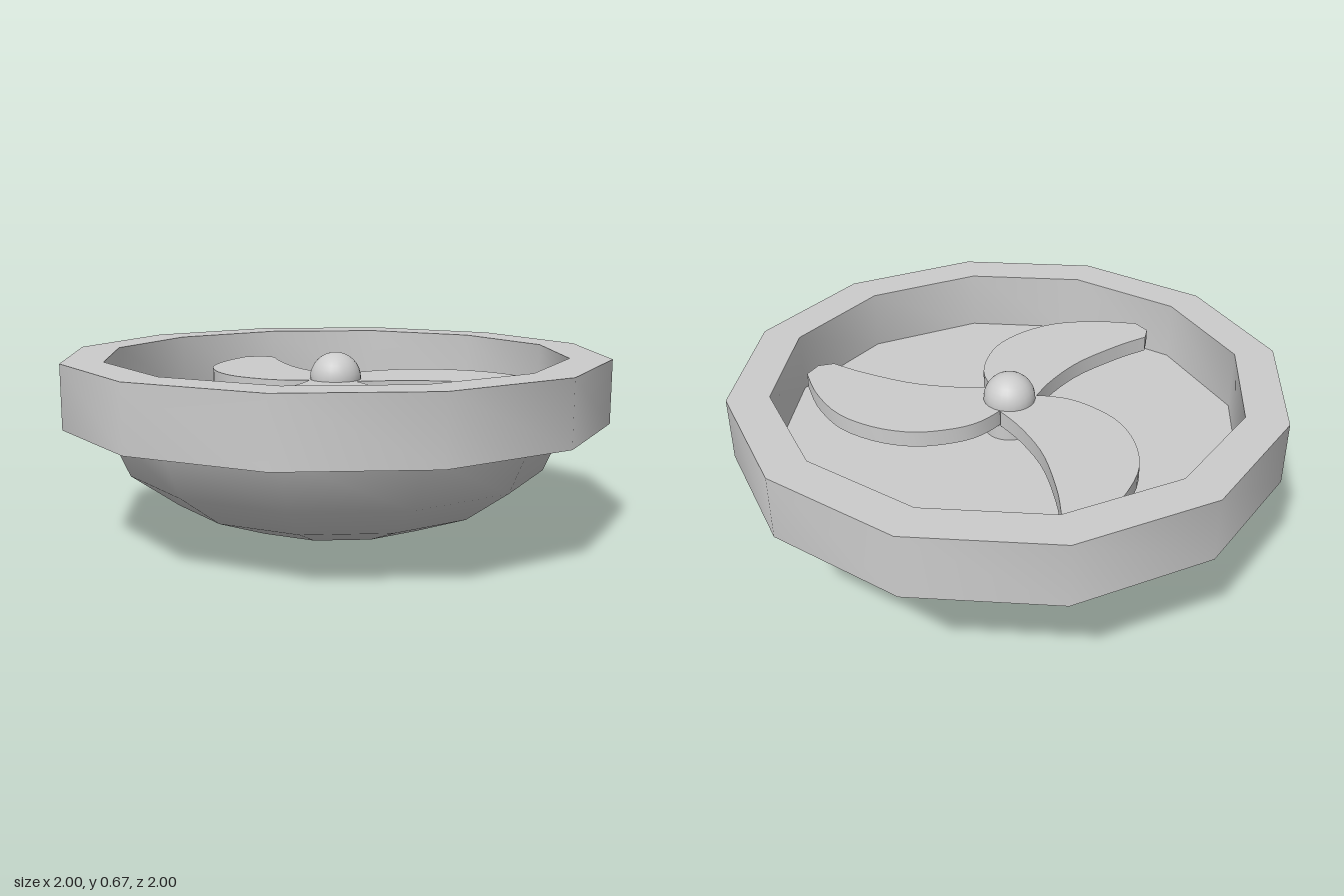
import * as THREE from 'three';
import { toCreasedNormals } from 'three/addons/utils/BufferGeometryUtils.js';

const SIDES = 12;
const FLOOR_Y = 0.44;
const BLADE_Y = 0.505;
const BLADE_TOP = 0.565;

const v2 = (points) => points.map(([x, y]) => new THREE.Vector2(x, y));

export function createModel() {
  const group = new THREE.Group();
  const material = new THREE.MeshStandardMaterial({ color: 0xcccccc });

  const add = (name, geometry, y = 0) => {
    const mesh = new THREE.Mesh(geometry, material);
    mesh.name = name;
    mesh.position.y = y;
    group.add(mesh);
    return mesh;
  };
  // Twelve-sided turned part: smooth around, sharp along strong profile corners
  const turned = (profile) =>
    toCreasedNormals(new THREE.LatheGeometry(v2(profile), SIDES), 0.75);

  // Faceted bowl underneath
  add('bowl', turned([[0, 0], [0.385, 0.05], [0.6, 0.13], [0.77, 0.25], [0.85, 0.43]]));

  // Thick rim ring
  add('rim', turned([[1, 0.43], [1, 0.662], [0.85, 0.662], [0.85, 0.43], [1, 0.43]]));

  // Flat floor inside the rim
  const floor = new THREE.CircleGeometry(0.85, SIDES).rotateX(-Math.PI / 2);
  add('floor', floor, FLOOR_Y);

  // Hub: short post with a ball on top
  const postHeight = BLADE_TOP - FLOOR_Y;
  add('hubPost', new THREE.CylinderGeometry(0.09, 0.09, postHeight, 24), FLOOR_Y + postHeight / 2);
  add('hubBall', new THREE.SphereGeometry(0.095, 24, 16), 0.57);

  // Curved blade outline: convex edge, rounded tip, concave edge
  const outline = new THREE.Shape();
  outline.moveTo(-0.04, 0.02);
  outline.splineThru(v2([[-0.09, 0.05], [-0.16, 0.14], [-0.19, 0.25], [-0.19, 0.37],
    [-0.14, 0.5], [-0.04, 0.62], [0.11, 0.7], [0.26, 0.74]]));
  outline.lineTo(0.32, 0.7);
  outline.lineTo(0.33, 0.64);
  outline.splineThru(v2([[0.25, 0.53], [0.15, 0.35], [0.1, 0.18], [0.085, 0.05]]));
  outline.closePath();

  const bladeGeometry = toCreasedNormals(
    new THREE.ExtrudeGeometry(outline, {
      depth: BLADE_TOP - BLADE_Y, bevelEnabled: false, curveSegments: 3,
    }).rotateX(-Math.PI / 2),
    0.6,
  );

  // Three blades around the hub
  [0, 124, 242].forEach((degrees, i) => {
    const blade = add(`blade${i + 1}`, bladeGeometry, BLADE_Y);
    blade.rotation.y = -THREE.MathUtils.degToRad(degrees);
  });

  return group;
}
